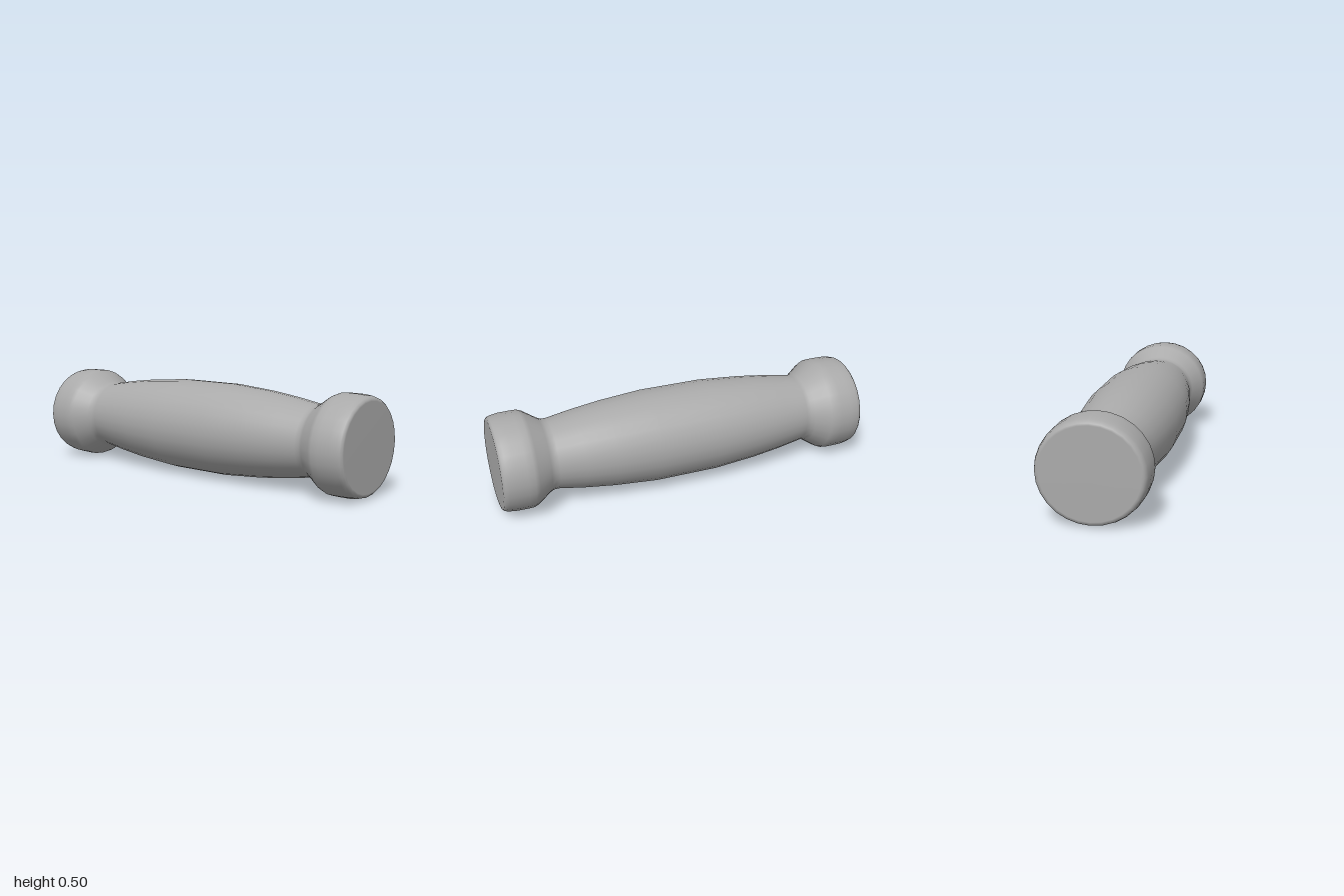
import * as THREE from 'three';

export function createModel() {
  const group = new THREE.Group();
  const grey = new THREE.MeshStandardMaterial({ color: 0xaaaaaa });
  grey.name = 'plain grey';

  // Half profile from the end face to the middle: [radius, distance along axis]
  const half = [
    [0, 0.995], [0.222, 0.995], [0.232, 0.993], [0.241, 0.984], [0.246, 0.968], [0.251, 0.93],
    [0.252, 0.87], [0.251, 0.835], [0.242, 0.812], [0.193, 0.74], [0.184, 0.72],
    [0.183, 0.695], [0.205, 0.56], [0.225, 0.4], [0.243, 0.17],
  ];
  const profile = [
    ...half.map(([r, d]) => new THREE.Vector2(r, -d)),
    ...half.slice().reverse().map(([r, d]) => new THREE.Vector2(r, d)),
  ];

  // Swelling grip with a flared knob at each end, slightly wider than tall
  const geometry = new THREE.LatheGeometry(profile, 28);
  geometry.rotateX(Math.PI / 2);
  geometry.scale(1.055, 1, 1);
  const handle = new THREE.Mesh(geometry, grey);
  handle.name = 'handleGrip';
  handle.position.y = 0.253;
  handle.rotation.y = 0.02;
  group.add(handle);

  return group;
}
